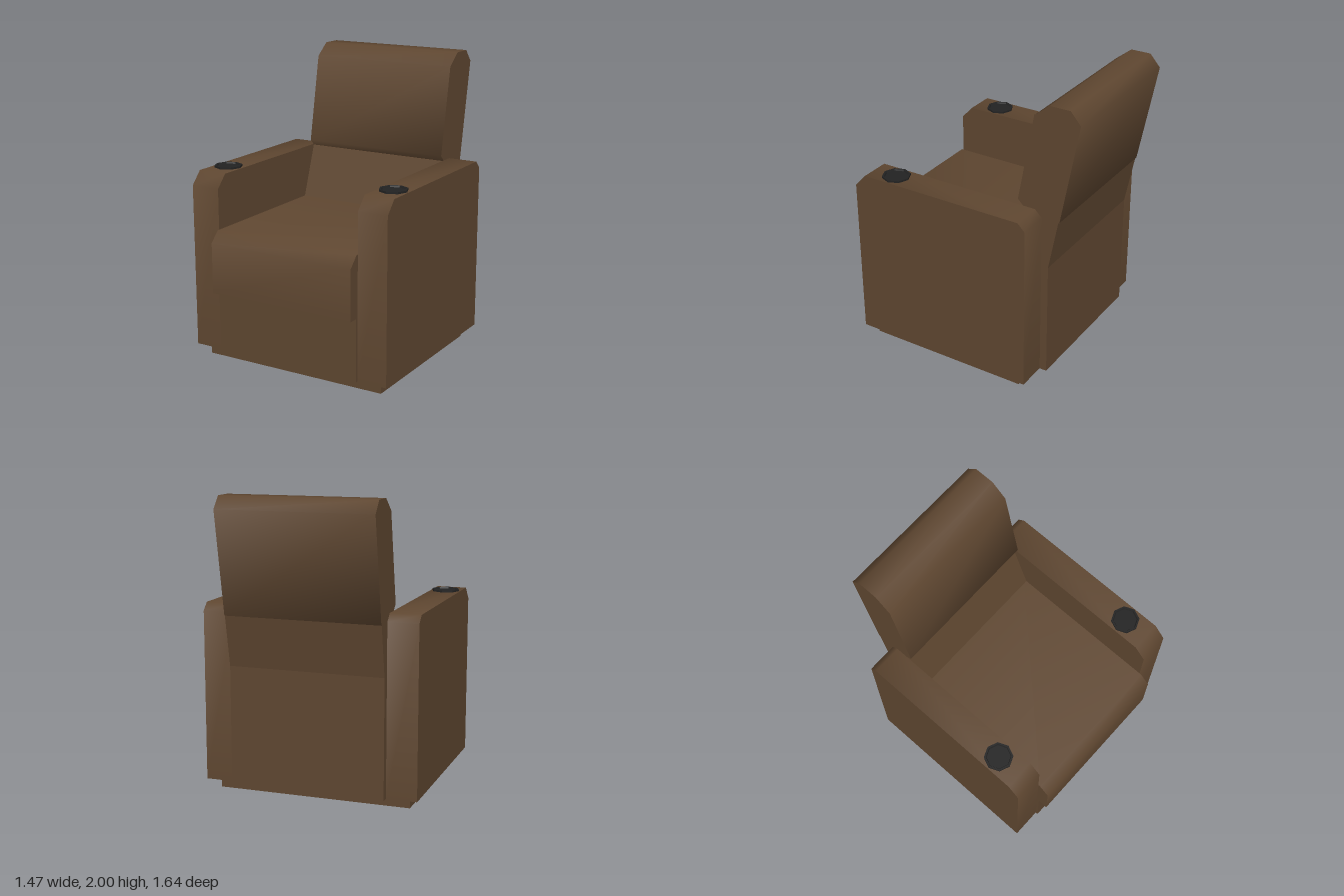
import * as THREE from 'three';
import { toCreasedNormals } from 'three/addons/utils/BufferGeometryUtils.js';

// Side profile of [z, y] points, extruded across x from x0 to x1
function slab(name, points, x0, x1, material, crease) {
  const shape = new THREE.Shape(points.map(([z, y]) => new THREE.Vector2(-z, y)));
  const extruded = new THREE.ExtrudeGeometry(shape, { depth: x1 - x0, bevelEnabled: false });
  extruded.rotateY(Math.PI / 2).translate(x0, 0, 0);
  const mesh = new THREE.Mesh(toCreasedNormals(extruded, crease), material);
  mesh.name = name;
  return mesh;
}

export function createModel() {
  const model = new THREE.Group();
  model.name = 'reclinerChair';
  const leather = new THREE.MeshStandardMaterial({ color: 0x5e4630 });
  leather.name = 'brown leather';
  const plastic = new THREE.MeshStandardMaterial({ color: 0x222222 });
  plastic.name = 'black plastic';

  const soft = 1.1, sharp = 0.1, inner = 0.528;

  // Plinth
  const plinth = new THREE.Mesh(new THREE.BoxGeometry(1.33, 0.08, 1.16), leather);
  plinth.position.set(0, 0.04, 0.095);
  plinth.name = 'plinth';
  model.add(plinth);

  // Body with the lower backrest
  model.add(slab('bodyAndLowerBack', [
    [0.752, 0.075], [0.752, 0.6], [-0.3, 0.85], [-0.305, 0.915], [-0.43, 1.27],
    [-0.5, 1.3], [-0.683, 1.23], [-0.615, 0.88], [-0.615, 0.075],
  ], -inner, inner, leather, sharp));

  // Seat cushion overhanging the front
  model.add(slab('seatCushion', [
    [0.82, 0.5], [0.82, 0.845], [0.75, 0.915], [-0.33, 0.915], [-0.33, 0.5],
  ], -inner, inner, leather, soft));

  // Headrest
  model.add(slab('headrest', [
    [-0.39, 1.315], [-0.502, 1.915], [-0.61, 2], [-0.748, 2], [-0.82, 1.918],
    [-0.69, 1.23], [-0.6, 1.17], [-0.47, 1.235],
  ], -inner, inner, leather, soft));

  // Armrests with chamfered top corners
  for (const [side, s] of [['left', 1], ['right', -1]]) {
    const x0 = s > 0 ? inner : -0.735;
    const x1 = s > 0 ? 0.735 : -inner;
    model.add(slab(side + 'Armrest', [
      [0.735, 0.075], [0.735, 1.19], [0.655, 1.277], [-0.515, 1.277],
      [-0.565, 1.227], [-0.565, 0.075],
    ], x0, x1, leather, soft));

    // Octagonal cup holder with a raised rim
    const profile = [[0, 1.28], [0.078, 1.28], [0.082, 1.29], [0.095, 1.29], [0.095, 1.27]]
      .reverse().map(([r, y]) => new THREE.Vector2(r, y));
    const cup = new THREE.LatheGeometry(profile, 8);
    const holder = new THREE.Mesh(toCreasedNormals(cup, 0.3), plastic);
    holder.position.set(s * 0.632, 0, 0.476);
    holder.name = side + 'CupHolder';
    model.add(holder);
  }
  return model;
}
